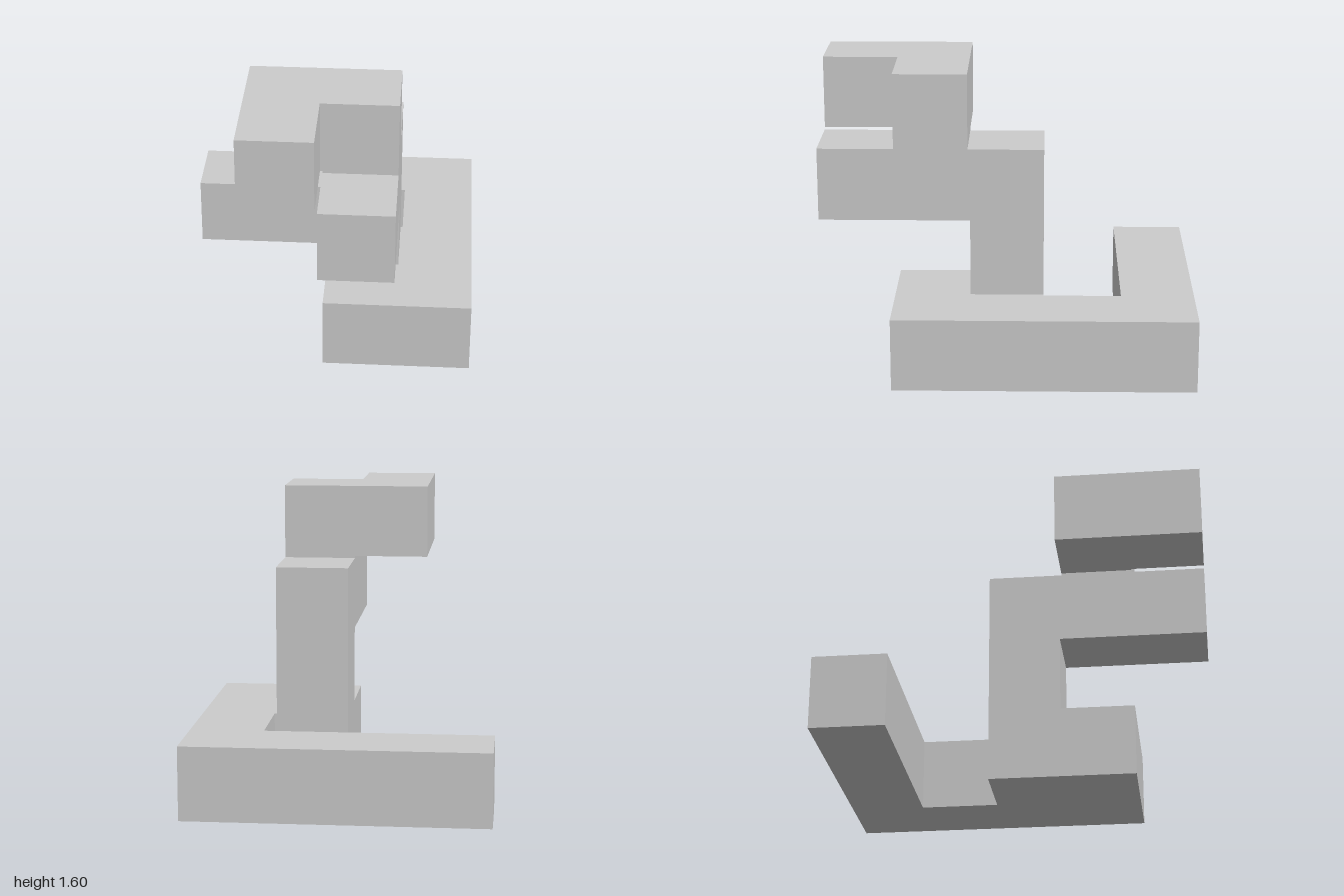
import * as THREE from 'three';

// Cube grid: cell pitch, and the small inset of every outer face
const S = 0.4024, G = 0.006;
const lo = (i) => i * S + G; // face on the low side of grid line i is open
const hi = (i) => i * S - G; // face on the high side of grid line i is open

const material = new THREE.MeshStandardMaterial({ color: 0xcccccc, flatShading: true });

function prism(points, depth) {
  const shape = new THREE.Shape(points.map(([a, b]) => new THREE.Vector2(a, b)));
  return new THREE.ExtrudeGeometry(shape, { depth, bevelEnabled: false });
}

// Outline in (x, z), extruded from y0 to y1
function slab(name, outline, y0, y1) {
  const geometry = prism(outline, y1 - y0).rotateX(Math.PI / 2).translate(0, y1, 0);
  const mesh = new THREE.Mesh(geometry, material);
  mesh.name = name;
  return mesh;
}

// Profile in (z, y), extruded from x0 to x1
function upright(name, profile, x0, x1) {
  const geometry = prism(profile, x1 - x0).rotateY(-Math.PI / 2).translate(x1, 0, 0);
  const mesh = new THREE.Mesh(geometry, material);
  mesh.name = name;
  return mesh;
}

export function createModel() {
  const group = new THREE.Group();
  group.name = 'blockPiece';

  // Hook-shaped base, including the foot under the column
  group.add(slab('base', [
    [lo(-2), lo(-2.5)], [hi(2), lo(-2.5)], [hi(2), hi(1.5)], [lo(0), hi(1.5)],
    [lo(0), lo(-0.5)], [lo(1), lo(-0.5)], [lo(1), hi(-1.5)], [lo(-2), hi(-1.5)],
  ], lo(0), hi(1)));

  // Column with its forward arm and the short neck on top
  group.add(upright('columnAndArm', [
    [lo(-0.5), hi(1)], [hi(0.5), hi(1)], [hi(0.5), lo(2)], [hi(2.5), lo(2)],
    [hi(2.5), hi(3)], [hi(1.5), hi(3)], [hi(1.5), lo(3)], [lo(0.5), lo(3)],
    [lo(0.5), hi(3)], [lo(-0.5), hi(3)],
  ], lo(0), hi(1)));

  // L-shaped top, its tip reaching forward beside the arm
  group.add(slab('topHook', [
    [lo(-1), lo(0.5)], [hi(1), lo(0.5)], [hi(1), hi(1.5)],
    [hi(0), hi(1.5)], [hi(0), hi(2.5)], [lo(-1), hi(2.5)],
  ], lo(3), hi(4)));

  // Rest the base on the ground
  for (const part of group.children) part.position.y = -G;
  return group;
}
